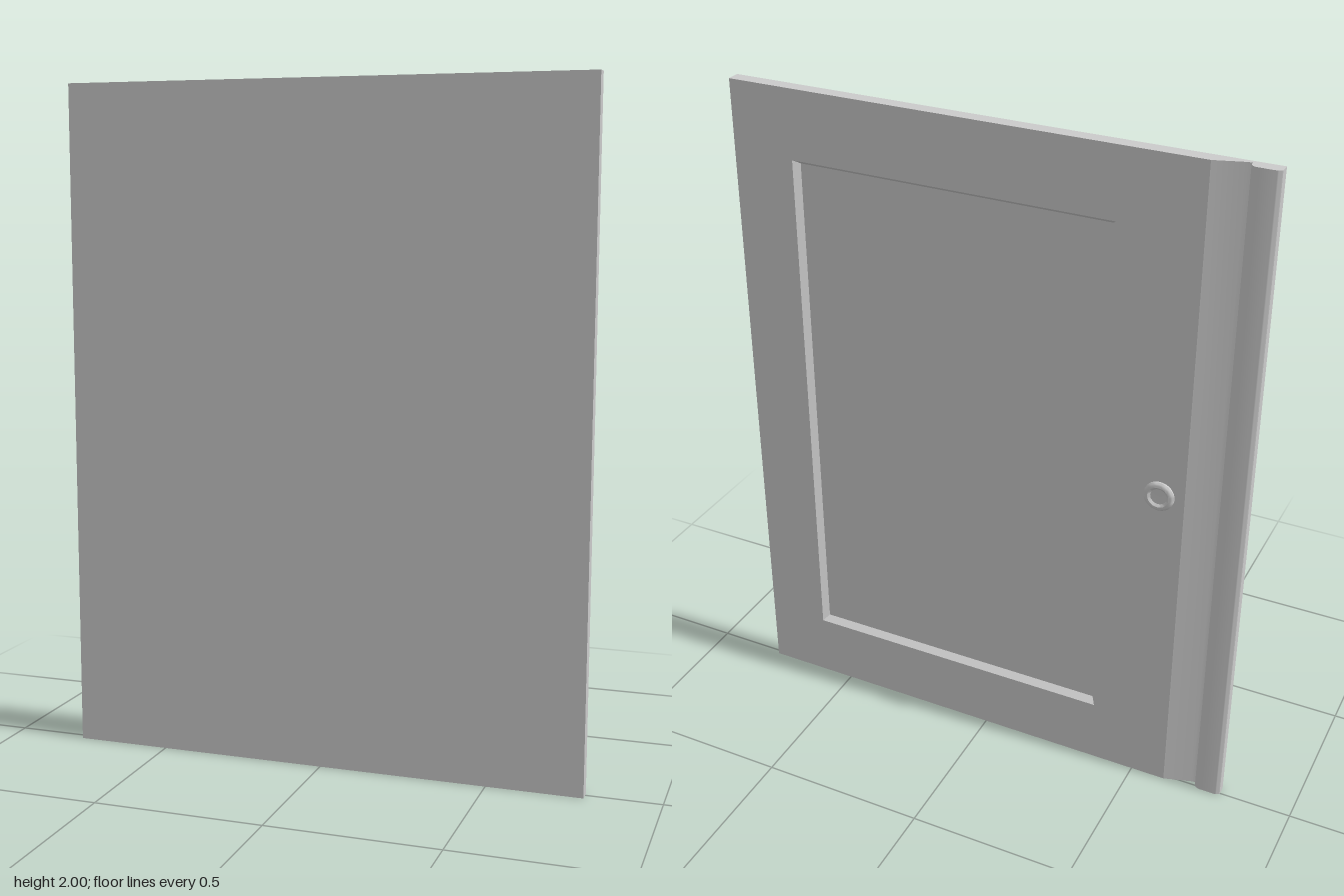
import * as THREE from 'three';
import { toCreasedNormals } from 'three/addons/utils/BufferGeometryUtils.js';

const FRONT = 0.026, BACK = -0.014, FLOOR = 0.007;
const JOIN = -0.605, EDGE = 0.782;

// Closed solid through rectangular loops [x0, x1, y0, y1, z], front to back
function rectLoft(loops) {
  const rings = loops.map(([x0, x1, y0, y1, z]) =>
    [[x0, y0, z], [x1, y0, z], [x1, y1, z], [x0, y1, z]]);
  const pos = [];
  const quad = (a, b, c, d) => [a, b, c, a, c, d].forEach((p) => pos.push(...p));
  quad(...rings[0]);
  for (let i = 0; i < rings.length - 1; i++) {
    const A = rings[i], B = rings[i + 1];
    for (let k = 0; k < 4; k++) {
      const n = (k + 1) % 4;
      quad(A[k], B[k], B[n], A[n]);
    }
  }
  quad(...rings[rings.length - 1].slice().reverse());
  const geo = new THREE.BufferGeometry();
  geo.setAttribute('position', new THREE.Float32BufferAttribute(pos, 3));
  geo.computeVertexNormals();
  return geo;
}

export function createModel() {
  const door = new THREE.Group();
  door.name = 'cabinetDoor';
  const grey = new THREE.MeshStandardMaterial({ color: 0xcccccc });
  const add = (name, geo) => {
    const mesh = new THREE.Mesh(geo, grey);
    mesh.name = name;
    door.add(mesh);
    return mesh;
  };

  // Main slab with a bevelled rectangular recess in its back face
  add('recessedPanel', rectLoft([
    [JOIN, EDGE, 0, 2, FRONT],
    [JOIN, EDGE, 0, 2, BACK],
    [-0.367, 0.595, 0.203, 1.795, BACK],
    [-0.353, 0.581, 0.217, 1.781, FLOOR],
  ]));

  // Edge moulding: chamfer down to a groove, then a rounded bead (shape y = -z)
  const s = new THREE.Shape();
  s.moveTo(JOIN, -FRONT);
  s.lineTo(JOIN, -BACK);
  s.lineTo(-0.688, -0.012);
  s.lineTo(-0.702, -0.014);
  s.lineTo(-0.702, -0.001);
  s.quadraticCurveTo(-0.708, 0.010, -0.722, 0.010);
  s.lineTo(-0.762, 0.010);
  s.quadraticCurveTo(-0.774, 0.010, -EDGE, 0.002);
  s.lineTo(-EDGE, -FRONT);
  s.closePath();
  const moulding = new THREE.ExtrudeGeometry(s, { depth: 2, bevelEnabled: false, curveSegments: 6 });
  moulding.rotateX(-Math.PI / 2);
  add('edgeMoulding', toCreasedNormals(moulding, 0.5));

  // Low round knob with a dished centre
  const profile = [
    [0.045, 0], [0.045, 0.005], [0.042, 0.009], [0.037, 0.012],
    [0.031, 0.012], [0.027, 0.009], [0.024, 0.006], [0, 0.005],
  ].map(([r, y]) => new THREE.Vector2(r, y));
  const knobGeo = new THREE.LatheGeometry(profile, 32);
  knobGeo.rotateX(-Math.PI / 2);
  add('knob', toCreasedNormals(knobGeo, 0.6)).position.set(-0.531, 1.013, BACK);

  return door;
}
